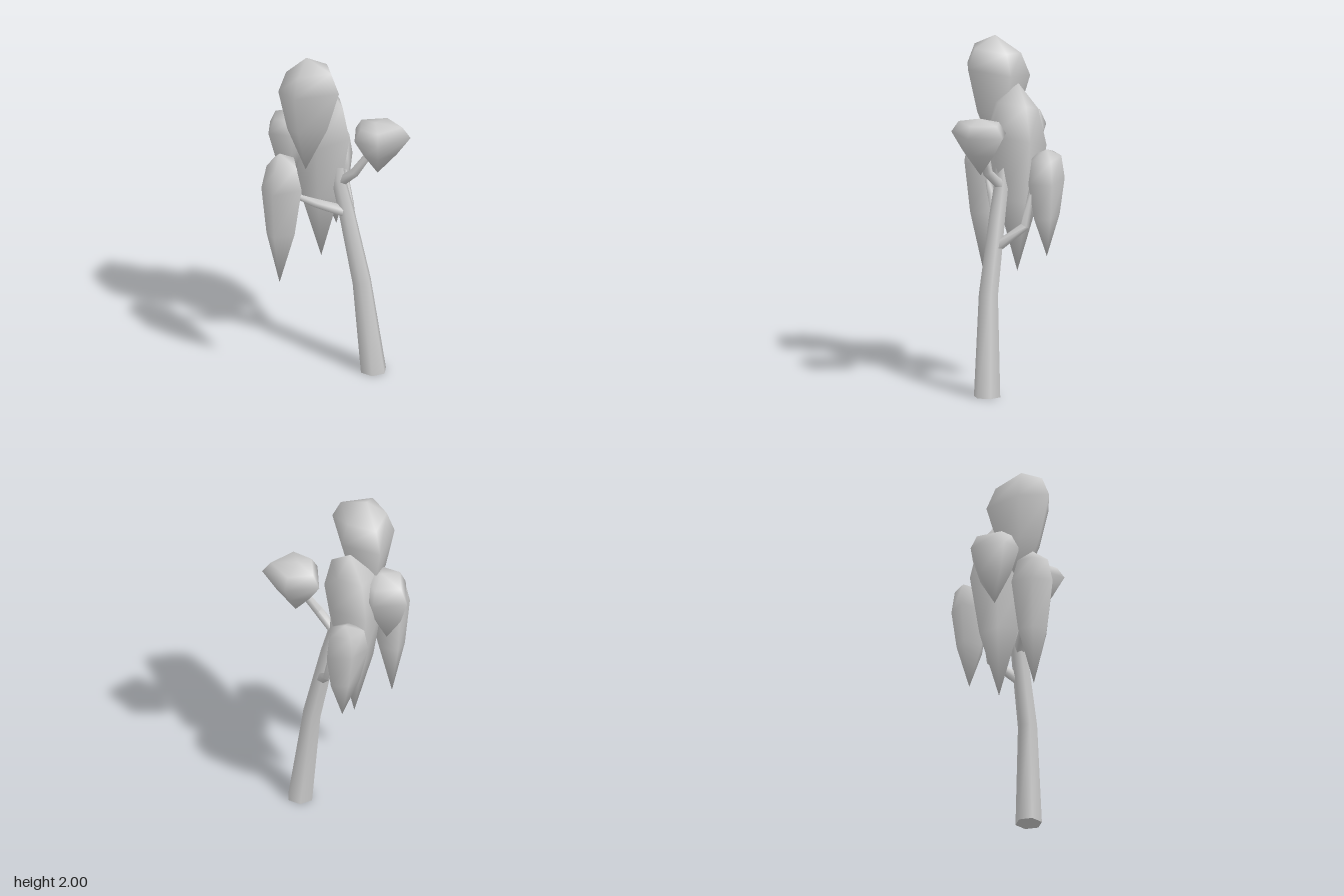
import * as THREE from 'three';
import { mergeVertices, toCreasedNormals } from 'three/addons/utils/BufferGeometryUtils.js';

const material = new THREE.MeshStandardMaterial({ color: 0xcccccc });

// Skin a stack of rings (first ring on top, points clockwise seen from above)
function loft(rings) {
  const n = rings[0].length, index = [];
  for (let i = 0; i < rings.length - 1; i++) {
    for (let j = 0; j < n; j++) {
      const a = i * n + j, b = i * n + (j + 1) % n;
      index.push(a, b, b + n, a, b + n, a + n);
    }
  }
  const geometry = new THREE.BufferGeometry().setFromPoints(rings.flat());
  geometry.setIndex(index);
  const merged = mergeVertices(geometry, 1e-5);
  merged.computeVertexNormals();
  return merged;
}

function addMesh(group, name, geometry) {
  const mesh = new THREE.Mesh(geometry, material);
  mesh.name = name;
  group.add(mesh);
}

// Tapered limb along a path of [x, y, z, radius]
function limb(path, sides) {
  const points = path.map(([x, y, z]) => new THREE.Vector3(x, y, z));
  const up = new THREE.Vector3(0, 1, 0), last = points.length - 1;
  const rings = points.map((p, i) => {
    const tangent = points[Math.min(i + 1, last)].clone().sub(points[Math.max(i - 1, 0)]).normalize();
    if (i === 0 && p.y === 0) tangent.copy(up); // flat on the ground
    const turn = new THREE.Quaternion().setFromUnitVectors(up, tangent);
    return Array.from({ length: sides }, (_, j) => {
      const a = (j / sides) * Math.PI * 2, r = path[i][3];
      return new THREE.Vector3(Math.cos(a) * r, 0, Math.sin(a) * r).applyQuaternion(turn).add(p);
    });
  });
  const cap = (p) => Array.from({ length: sides }, () => p.clone());
  return toCreasedNormals(loft([cap(points[0]), ...rings, cap(points[last])].reverse()), 1.3);
}

// Five-sided hanging leaf clump: apex, shoulder, widest outline, lower ring, tip
function leafClump({ outline, apex, shoulder, shoulderScale = 0.74, widest, tilt = [0, 0], lower = 0.66, tip }) {
  const top = new THREE.Vector3(...apex), end = new THREE.Vector3(...tip);
  const cx = outline.reduce((s, p) => s + p[0], 0) / 5;
  const cz = outline.reduce((s, p) => s + p[1], 0) / 5;
  const ring = (scale, y, x0, z0) => outline.map(([x, z]) => {
    const dx = (x - cx) * scale, dz = (z - cz) * scale;
    return new THREE.Vector3(x0 + dx, y + tilt[0] * dx + tilt[1] * dz, z0 + dz);
  });
  return loft([
    outline.map(() => top.clone()),
    ring(shoulderScale, shoulder, cx, cz),
    ring(1, widest, cx, cz),
    ring(lower, widest + (end.y - widest) * 0.47, (cx + end.x) / 2, (cz + end.z) / 2),
    outline.map(() => end.clone()),
  ]);
}

export function createModel() {
  const tree = new THREE.Group();
  tree.name = 'tree';

  // Leaning trunk, its end poking out of the middle clump
  addMesh(tree, 'trunk', limb([
    [0.232, 0, 0.135, 0.077], [0.17, 0.57, 0.112, 0.056], [0.105, 1.0, 0.045, 0.047],
    [0.07, 1.2, 0.01, 0.041], [0.06, 1.65, 0.0, 0.03],
  ], 6));

  // Bent branches carrying the outer clumps
  const branches = {
    rightBranch: [[0.09, 1.0, 0.045, 0.034], [-0.08, 1.08, 0.03, 0.026], [-0.2, 1.15, 0.025, 0.014]],
    frontBranch: [[0.08, 1.17, 0.01, 0.03], [0.13, 1.27, 0.11, 0.028], [0.22, 1.42, 0.16, 0.02]],
    backBranch: [[0.135, 0.83, 0.065, 0.032], [0.185, 0.96, -0.095, 0.028], [0.175, 1.16, -0.135, 0.016]],
  };
  for (const [name, path] of Object.entries(branches)) addMesh(tree, name, limb(path, 5));

  // Leaf clumps, outlines given as [x, z]
  const clumps = {
    topLeaves: {
      outline: [[-0.096, -0.197], [0.066, -0.044], [-0.003, 0.187], [-0.249, 0.128], [-0.268, -0.057]],
      apex: [-0.12, 2, 0], shoulder: 1.92, widest: 1.8, tilt: [0, 0.18], tip: [-0.125, 1.29, 0],
    },
    backRightLeaves: {
      outline: [[-0.203, -0.317], [-0.016, -0.254], [-0.02, -0.065], [-0.19, -0.03], [-0.29, -0.145]],
      apex: [-0.13, 1.6, -0.16], shoulder: 1.56, widest: 1.48, tilt: [0, 0.15], tip: [-0.156, 1.157, -0.165],
    },
    middleLeaves: {
      outline: [[0.03, -0.26], [0.175, -0.128], [0.112, 0.074], [-0.085, 0.06], [-0.142, -0.145]],
      apex: [0.04, 1.75, -0.095], shoulder: 1.62, widest: 1.42, tilt: [0.15, 0.2], tip: [0.013, 0.667, -0.095],
    },
    backLeftLeaves: {
      outline: [[0.04, -0.305], [0.16, -0.333], [0.267, -0.233], [0.19, -0.115], [0.065, -0.15]],
      apex: [0.15, 1.385, -0.233], shoulder: 1.34, shoulderScale: 0.82, widest: 1.21, tilt: [-0.1, -0.1],
      lower: 0.7, tip: [0.165, 0.775, -0.228],
    },
    rightLeaves: {
      outline: [[-0.28, -0.1], [-0.17, 0.0], [-0.217, 0.151], [-0.381, 0.113], [-0.394, -0.008]],
      apex: [-0.294, 1.437, 0.02], shoulder: 1.375, widest: 1.24, tilt: [0.12, 0],
      lower: 0.7, tip: [-0.297, 0.62, 0.026],
    },
    frontLeftLeaves: {
      outline: [[0.178, 0.013], [0.364, 0.078], [0.392, 0.29], [0.173, 0.328], [0.091, 0.19]],
      apex: [0.225, 1.598, 0.175], shoulder: 1.575, widest: 1.51, tilt: [0, 0.08],
      lower: 0.58, tip: [0.24, 1.275, 0.175],
    },
  };
  for (const [name, spec] of Object.entries(clumps)) addMesh(tree, name, leafClump(spec));

  return tree;
}
